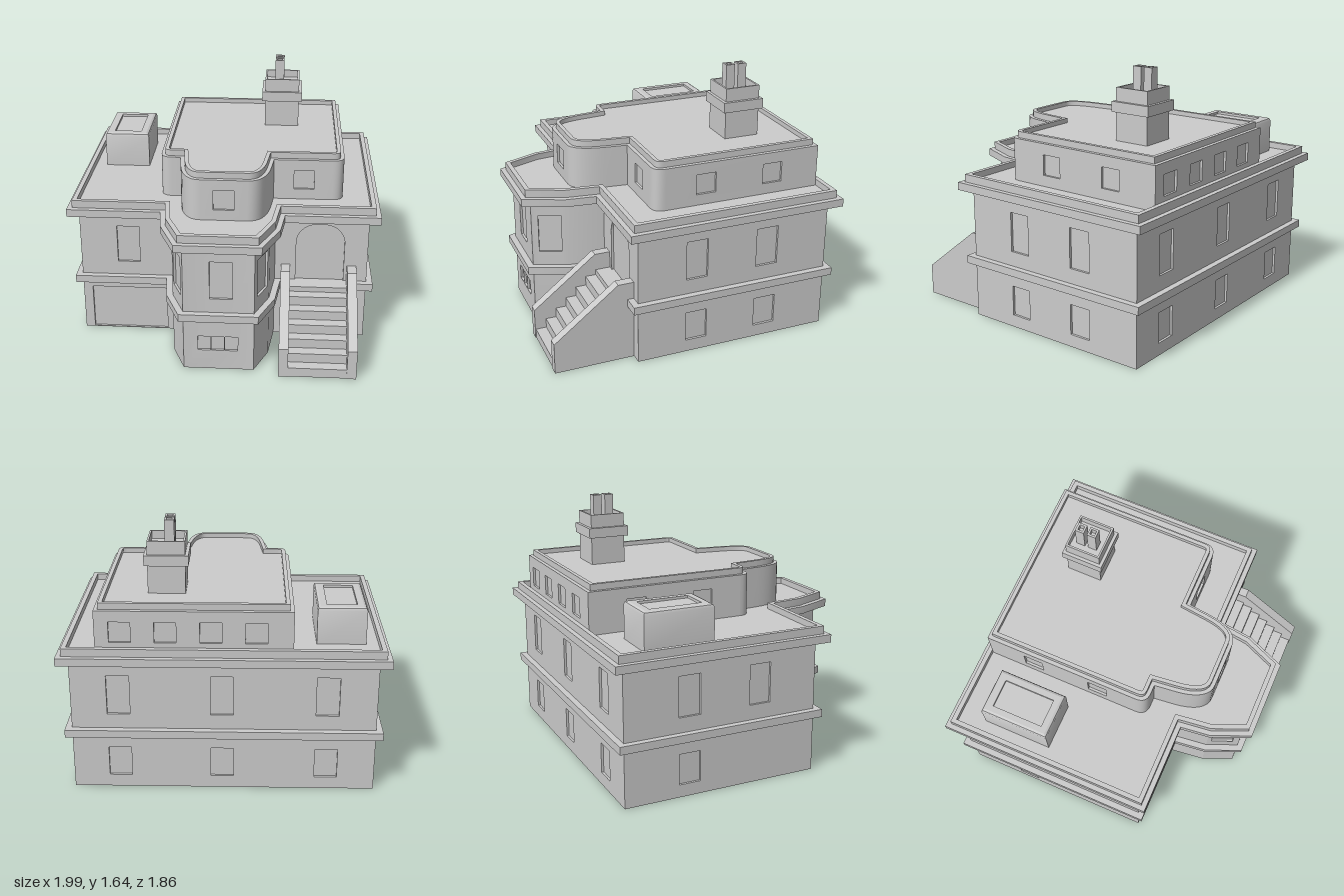
import * as THREE from 'three';
import { mergeGeometries, toCreasedNormals } from 'three/addons/utils/BufferGeometryUtils.js';

const material = new THREE.MeshStandardMaterial({ color: 0xcccccc, side: THREE.DoubleSide });
const DEPTH = 0.015; // wall skin, and depth of the window recesses
const V = (x, z) => new THREE.Vector2(x, z);

function add(parent, name, geometry) {
  const mesh = new THREE.Mesh(geometry, material);
  mesh.name = name;
  parent.add(mesh);
  return mesh;
}

// Outward unit normal of the plan edge a-b (plan points are x, z)
function edgeNormal(a, b) {
  const d = b.clone().sub(a).normalize();
  return V(-d.y, d.x);
}

// Plan outline pushed outward with mitred corners
function offset(outline, amount) {
  const n = outline.length;
  return outline.map((p, i) => {
    const n0 = edgeNormal(outline[(i + n - 1) % n], p);
    const n1 = edgeNormal(p, outline[(i + 1) % n]);
    return p.clone().addScaledVector(n0.clone().add(n1), amount / (1 + n0.dot(n1)));
  });
}

// Profile of [offset, y] steps carried round an outline
function sweep(outline, profile) {
  const n = outline.length, pos = [], index = [];
  profile.forEach(([o, y], j) => {
    offset(outline, o).forEach((p, i) => {
      pos.push(p.x, y, p.y);
      if (j === 0) return;
      const a = (j - 1) * n + i, b = (j - 1) * n + (i + 1) % n;
      index.push(a, b, b + n, a, b + n, a + n);
    });
  });
  const g = new THREE.BufferGeometry();
  g.setAttribute('position', new THREE.Float32BufferAttribute(pos, 3));
  g.setIndex(index);
  return toCreasedNormals(g, 0.4);
}

// Horizontal surface filling an outline
function cap(outline, o, y) {
  const shape = new THREE.Shape(offset(outline, o).map(p => V(p.x, -p.y)));
  return new THREE.ShapeGeometry(shape).rotateX(-Math.PI / 2).translate(0, y, 0);
}

// Sweep closed by a surface at its last step
function block(parent, name, outline, profile) {
  add(parent, name, sweep(outline, profile));
  add(parent, name + 'Top', cap(outline, ...profile[profile.length - 1]));
}

const rect = (x0, x1, z0, z1) => [V(x1, z1), V(x1, z0), V(x0, z0), V(x0, z1)];

// Opening outline: rectangle, or with rounded upper corners
function opening([u0, u1, y0, y1, r = 0]) {
  const s = new THREE.Shape();
  s.moveTo(u0, y0).lineTo(u1, y0).lineTo(u1, y1 - r);
  if (r) s.absarc(u1 - r, y1 - r, r, 0, Math.PI / 2).absarc(u0 + r, y1 - r, r, Math.PI / 2, Math.PI);
  else s.lineTo(u1, y1).lineTo(u0, y1);
  s.closePath();
  return s;
}

// Walls along an outline; openings are listed by edge number
function walls(parent, name, outline, y0, y1, openings) {
  const panels = [], panes = [];
  outline.forEach((a, i) => {
    const b = outline[(i + 1) % outline.length];
    const len = a.distanceTo(b);
    const shape = new THREE.Shape([V(0, y0), V(len, y0), V(len, y1), V(0, y1)]);
    const place = g => g.translate(0, 0, -DEPTH)
      .rotateY(Math.atan2(a.y - b.y, b.x - a.x)).translate(a.x, 0, a.y);
    for (const o of openings[i] || []) {
      const hole = opening(o);
      shape.holes.push(hole);
      panes.push(place(new THREE.ShapeGeometry(hole)));
    }
    panels.push(place(new THREE.ExtrudeGeometry(shape, { depth: DEPTH, bevelEnabled: false })));
  });
  add(parent, name + 'Walls', toCreasedNormals(mergeGeometries(panels), 0.4));
  add(parent, name + 'Panes', mergeGeometries(panes));
}

function createMainBody(house) {
  const outline = [
    V(0.93, 0.415), V(0.93, -0.86), V(-0.93, -0.86), V(-0.93, 0.415), V(-0.335, 0.415),
    V(-0.305, 0.66), V(-0.22, 0.862), V(0.22, 0.862), V(0.305, 0.66), V(0.335, 0.415),
  ];
  const upper = (u0, u1) => [u0, u1, 0.505, 0.76];
  const lower = (u0, u1) => [u0, u1, 0.08, 0.275];
  const small = u => [u, u + 0.08, 0.135, 0.235];
  const backCentres = [0.29, 0.92, 1.56];
  walls(house, 'main', outline, 0, 0.86, {
    0: [upper(0.315, 0.455), upper(0.785, 0.93), lower(0.315, 0.455), lower(0.785, 0.93)],
    1: backCentres.flatMap(c => [upper(c - 0.07, c + 0.07), lower(c - 0.07, c + 0.07)]),
    2: [upper(0.35, 0.49), upper(0.82, 0.96), lower(0.35, 0.49)],
    3: [upper(0.24, 0.385), [0.06, 0.555, 0.005, 0.31]],
    5: [upper(0.03, 0.175)],
    6: [upper(0.165, 0.305), small(0.09), small(0.175), small(0.26)],
    7: [upper(0.044, 0.19)],
    9: [[0.135, 0.445, 0.41, 0.81, 0.13]],
  });
  add(house, 'floorBand', sweep(outline, [[0, 0.36], [0.04, 0.36], [0.04, 0.41], [0, 0.41]]));
  block(house, 'roofCornice', outline, [
    [0, 0.85], [0.067, 0.85], [0.067, 0.9], [0.035, 0.9], [0.035, 0.95], [0.005, 0.95], [0.005, 0.91],
  ]);
}

function createTopStorey(house) {
  const s = new THREE.Shape();
  s.moveTo(0.765, -0.17).lineTo(0.765, 0.863).lineTo(-0.415, 0.863).lineTo(-0.415, -0.17);
  s.quadraticCurveTo(-0.415, -0.245, -0.34, -0.245);
  s.lineTo(-0.285, -0.245).lineTo(-0.27, -0.38);
  s.quadraticCurveTo(-0.245, -0.595, -0.13, -0.595);
  s.lineTo(0.16, -0.595);
  s.quadraticCurveTo(0.275, -0.595, 0.3, -0.38);
  s.lineTo(0.315, -0.245).lineTo(0.69, -0.245);
  s.quadraticCurveTo(0.765, -0.245, 0.765, -0.17);
  const outline = s.getPoints(8).map(p => V(p.x, -p.y));
  if (outline[0].distanceTo(outline[outline.length - 1]) < 1e-6) outline.pop();

  const window = u => [u, u + 0.13, 0.98, 1.11];
  walls(house, 'topStorey', outline, 0.905, 1.18, {
    0: [window(0.2), window(0.65)],
    1: [0.085, 0.355, 0.625, 0.895].map(window),
    2: [window(0.25), window(0.7)],
    21: [window(0.08)],
    31: [window(0.13)],
  });
  block(house, 'topRim', outline,
    [[0, 1.18], [-0.025, 1.18], [-0.025, 1.22], [-0.05, 1.22], [-0.05, 1.19]]);
}

function createRoofParts(house) {
  // Skylight box with a sunken panel
  block(house, 'roofBox', rect(-0.86, -0.56, -0.695, -0.245), [
    [0, 0.9], [0, 1.125], [-0.006, 1.14], [-0.02, 1.146], [-0.058, 1.146], [-0.058, 1.13],
  ]);
  // Chimney with collar and two flues
  block(house, 'chimney', rect(0.237, 0.467, -0.59, -0.36), [
    [0, 1.18], [0, 1.37], [0.02, 1.37], [0.02, 1.435], [0, 1.435], [0, 1.52], [-0.012, 1.52], [-0.012, 1.47],
  ]);
  for (const z of [-0.517, -0.437]) {
    block(house, 'flue', rect(0.303, 0.363, z - 0.029, z + 0.029),
      [[0, 1.47], [0, 1.64], [-0.013, 1.64], [-0.013, 1.6]]);
  }
}

function createStairs(house) {
  const stairs = new THREE.Group();
  stairs.name = 'frontStairs';
  house.add(stairs);
  // Treads and risers between the side walls
  const x0 = 0.435, x1 = 0.805, width = x1 - x0, xc = (x0 + x1) / 2;
  for (let i = 0; i < 7; i++) {
    const top = i === 6 ? 0.41 : 0.0625 * (i + 1);
    const front = 0.92 - 0.068 * i;
    const back = i === 6 ? 0.415 : front - 0.068;
    const rise = top - 0.0625 * i;
    add(stairs, 'riser', new THREE.PlaneGeometry(width, rise).translate(xc, top - rise / 2, front));
    add(stairs, 'tread', new THREE.PlaneGeometry(width, front - back).rotateX(-Math.PI / 2)
      .translate(xc, top, (front + back) / 2));
  }
  // Sloping side walls
  const side = new THREE.Shape([
    V(0.415, 0), V(0.925, 0), V(0.925, 0.2), V(0.515, 0.52), V(0.415, 0.52),
  ]);
  for (const x of [0.375, 0.8]) {
    const wall = new THREE.ExtrudeGeometry(side, { depth: 0.06, bevelEnabled: false });
    add(stairs, 'stairWall', wall.rotateY(-Math.PI / 2).translate(x + 0.06, 0, 0));
  }
}

export function createModel() {
  const house = new THREE.Group();
  house.name = 'house';
  createMainBody(house);
  createTopStorey(house);
  createRoofParts(house);
  createStairs(house);
  return house;
}
